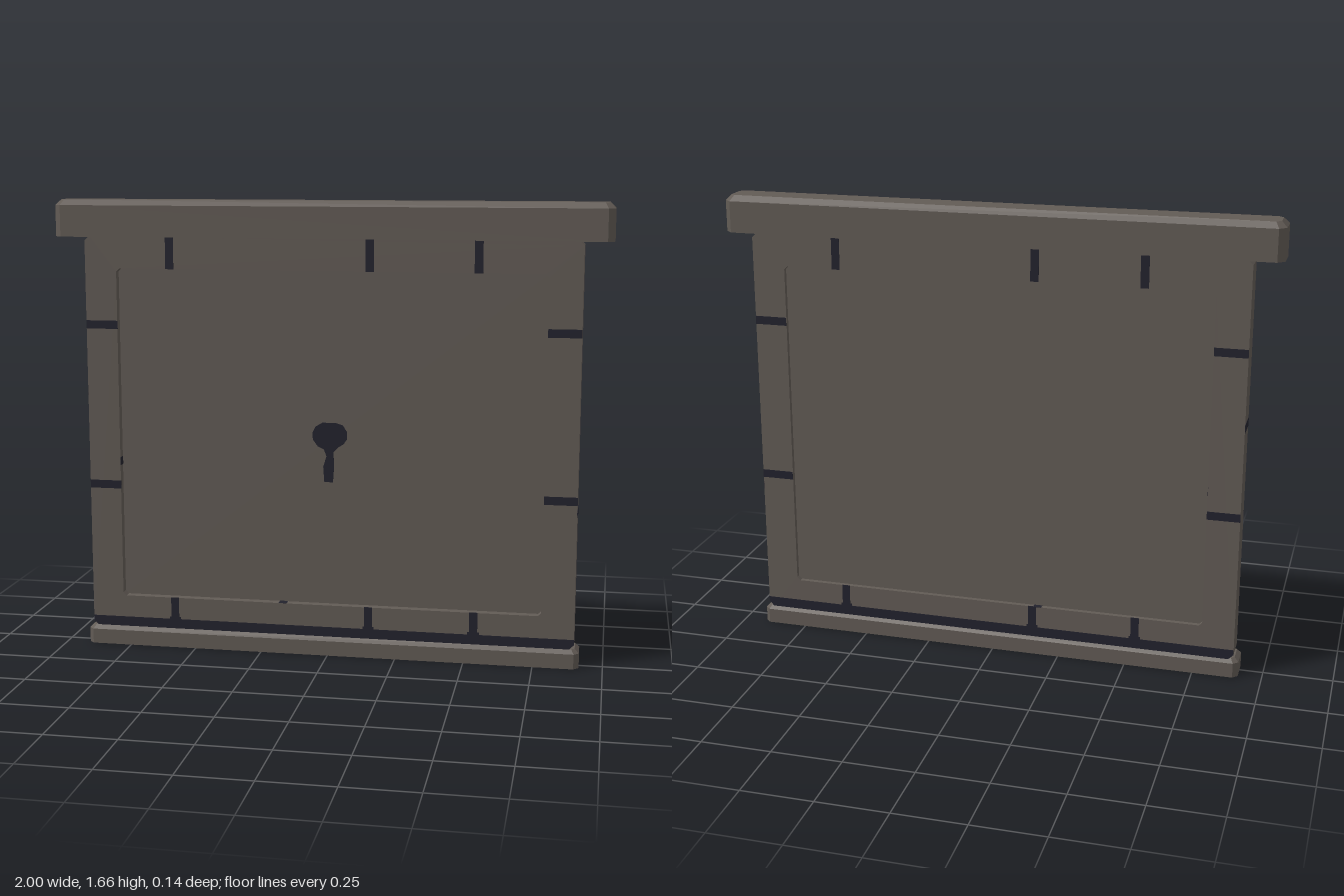
import * as THREE from 'three';
import { ConvexGeometry } from 'three/addons/geometries/ConvexGeometry.js';

const stone = new THREE.MeshStandardMaterial({ color: 0x625b55 });
stone.name = 'stone';
const groove = new THREE.MeshStandardMaterial({ color: 0x22222d });
groove.name = 'darkGroove';

const FRONT = 0.035, BACK = -0.062, PLATE = 0.002;

function add(parent, name, geometry, material, x = 0, y = 0, z = 0) {
  const mesh = new THREE.Mesh(geometry, material);
  mesh.name = name;
  mesh.position.set(x, y, z);
  parent.add(mesh);
  return mesh;
}

// Corners of a rectangle with cut corners
function cutRect(x0, y0, x1, y1, c) {
  return [[x0 + c, y0], [x1 - c, y0], [x1, y0 + c], [x1, y1 - c],
    [x1 - c, y1], [x0 + c, y1], [x0, y1 - c], [x0, y0 + c]].map(([x, y]) => new THREE.Vector2(x, y));
}

// Slab with cut vertical corners and a bevelled top edge
function slab(halfX, z0, z1, y0, y1, cut, bevel) {
  const points = [];
  for (const [y, i] of [[y0, 0], [y1 - bevel, 0], [y1, bevel]]) {
    for (const p of cutRect(-halfX + i, z0 + i, halfX - i, z1 - i, cut - i * 0.4)) {
      points.push(new THREE.Vector3(p.x, y, p.y));
    }
  }
  return new ConvexGeometry(points);
}

function extrude(shape, depth) {
  return new THREE.ExtrudeGeometry(shape, { depth, bevelEnabled: false, curveSegments: 6 });
}

export function createModel() {
  const model = new THREE.Group();
  model.name = 'stonePanel';

  // Main slabs
  add(model, 'cap', slab(1, -0.07, 0.07, 1.527, 1.66, 0.025, 0.02), stone);
  add(model, 'base', slab(0.915, -0.07, 0.05, 0, 0.07, 0.018, 0.015), stone);

  // Frame with the panel opening
  const outline = new THREE.Shape(cutRect(-0.897, 0.068, 0.897, 1.53, 0.018));
  outline.holes.push(new THREE.Path(cutRect(-0.78, 0.187, 0.778, 1.412, 0.012).reverse()));
  add(model, 'frame', extrude(outline, FRONT - BACK), stone, 0, 0, BACK);

  // Sunken panel
  add(model, 'panel', new THREE.BoxGeometry(1.57, 1.235, 0.05), stone, 0, 0.8, -0.02);

  // Grooves on both faces; the back is the front turned round
  for (const side of ['front', 'back']) {
    const face = new THREE.Group();
    face.name = side + 'Grooves';
    if (side === 'back') face.rotation.y = Math.PI;
    face.position.z = side === 'front' ? FRONT : BACK;
    model.add(face);
    for (const x of [-0.58, 0.15, 0.535]) {
      add(face, 'topGroove', new THREE.BoxGeometry(0.03, 0.116, PLATE), groove, x, 1.47, 0);
      add(face, 'bottomGroove', new THREE.BoxGeometry(0.03, 0.09, PLATE), groove, x, 0.143, 0);
      // Widened foot of the groove
      add(face, 'grooveFoot', new THREE.BoxGeometry(0.042, 0.012, PLATE), groove, x, 0.108, 0);
    }
    for (const y of [0.612, 1.207]) {
      for (const s of [-1, 1]) {
        add(face, 'sideGroove', new THREE.BoxGeometry(0.118, 0.03, PLATE), groove, s * 0.838, y, 0);
      }
    }
    const strip = new THREE.Shape([[-0.879, 0.068], [0.879, 0.068], [0.897, 0.086], [0.897, 0.105],
      [-0.897, 0.105], [-0.897, 0.086]].map(([x, y]) => new THREE.Vector2(x, y)));
    add(face, 'bottomStrip', extrude(strip, PLATE), groove, 0, 0, -PLATE / 2);
  }

  // Grooves on the outer ends and inside the opening
  const midZ = (FRONT + BACK) / 2, depth = FRONT - BACK;
  add(model, 'leftEndGroove', new THREE.BoxGeometry(PLATE, 0.03, depth), groove, 0.897, 0.565, midZ);
  add(model, 'rightEndGroove', new THREE.BoxGeometry(PLATE, 0.03, depth), groove, -0.897, 0.94, midZ);
  add(model, 'innerSideGroove', new THREE.BoxGeometry(PLATE, 0.03, depth), groove, -0.78, 0.7, midZ);
  add(model, 'innerBottomGroove', new THREE.BoxGeometry(0.03, PLATE, depth), groove, -0.17, 0.187, midZ);

  // Keyhole
  const half = [[-0.018, 0.645], [0.014, 0.643], [0.018, 0.7], [0.016, 0.755], [0.035, 0.775],
    [0.052, 0.785], [0.066, 0.805], [0.066, 0.83], [0.05, 0.855], [0.025, 0.863], [-0.025, 0.863],
    [-0.05, 0.848], [-0.062, 0.825], [-0.06, 0.8], [-0.042, 0.775], [-0.02, 0.765], [-0.01, 0.74],
    [-0.022, 0.7]];
  const keyhole = new THREE.Shape(half.map(([x, y]) => new THREE.Vector2(x, y)));
  add(model, 'keyhole', extrude(keyhole, PLATE), groove, 0, 0, 0.0045);

  return model;
}
